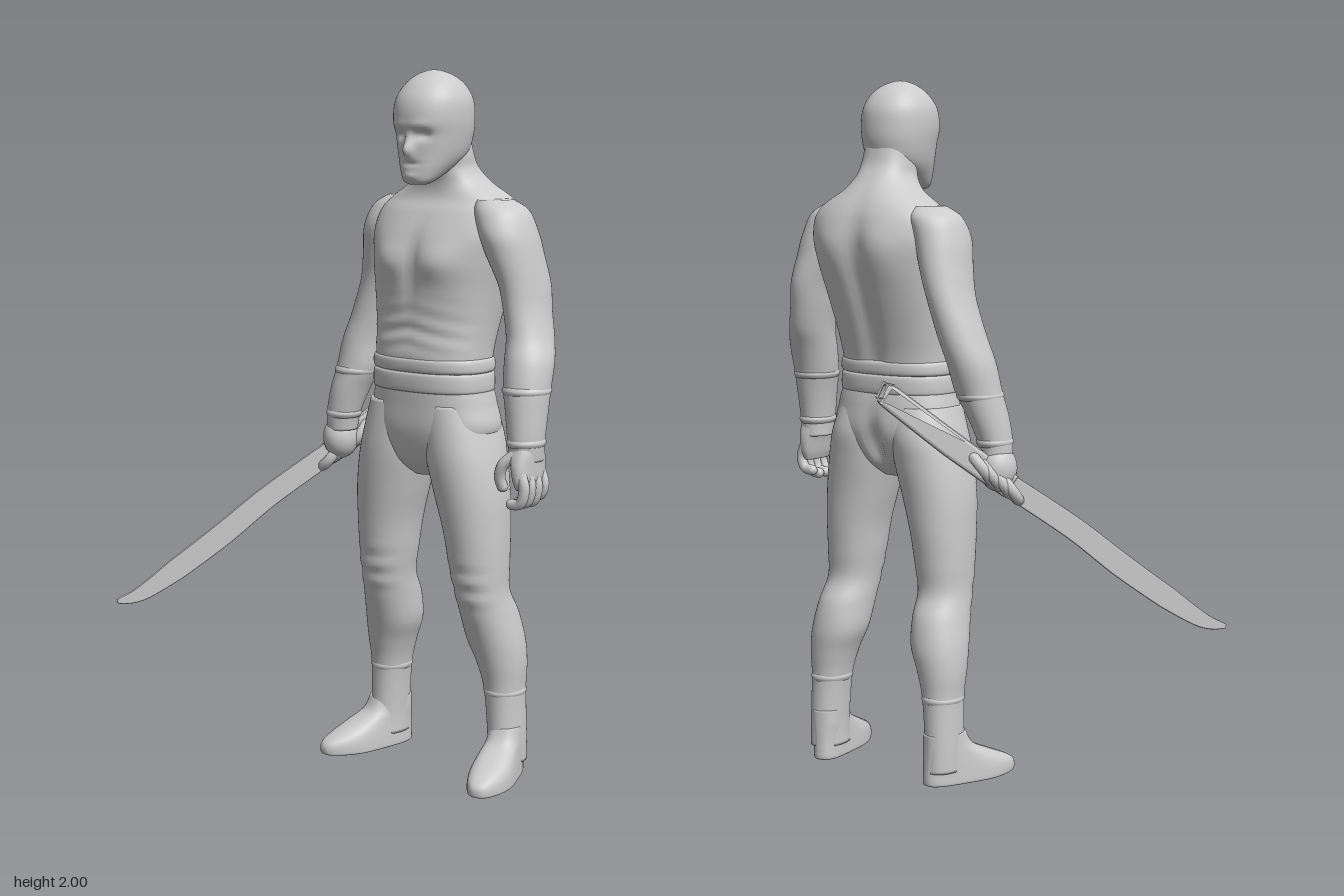
import * as THREE from 'three';

const material = new THREE.MeshStandardMaterial({ color: 0xcccccc, roughness: 0.8 });
const bump = (v, centre, width) => Math.exp(-(((v - centre) / width) ** 2));

// Smooth skin over horizontal rings, bottom to top. Row: [y, centre x, half width, front z, back z]
function loft(rows, { power = 2, sides = 48, steps = 6, sculpt } = {}) {
  const position = [], index = [];
  const last = (rows.length - 1) * steps;
  const sample = (k, i, t) => {
    const at = (n) => rows[Math.min(Math.max(n, 0), rows.length - 1)][k];
    const [a, b, c, d] = [at(i - 1), at(i), at(i + 1), at(i + 2)];
    return b + 0.5 * t * (c - a + t * (2 * a - 5 * b + 4 * c - d + t * (3 * (b - c) + d - a)));
  };
  const soften = (v) => Math.sign(v) * Math.abs(v) ** (2 / power);
  for (let r = 0; r <= last; r++) {
    const i = Math.min(Math.floor(r / steps), rows.length - 2);
    const t = r / steps - i;
    const [y, cx, rx, zf, zb] = [0, 1, 2, 3, 4].map((k) => sample(k, i, t));
    for (let j = 0; j < sides; j++) {
      const a = (j / sides) * Math.PI * 2;
      const p = new THREE.Vector3(
        cx + rx * soften(Math.cos(a)), y, (zf + zb) / 2 + ((zf - zb) / 2) * soften(Math.sin(a)));
      if (sculpt) sculpt(p, Math.sin(a), p.x - cx);
      position.push(p.x, p.y, p.z);
      const n = (j + 1) % sides, o = r * sides;
      if (r < last) index.push(o + j, o + sides + j, o + n, o + n, o + sides + j, o + sides + n);
    }
  }
  // end caps
  for (const r of [0, last]) {
    const [y, cx, , zf, zb] = rows[r ? rows.length - 1 : 0];
    const c = position.length / 3, o = r * sides;
    position.push(cx, y, (zf + zb) / 2);
    for (let j = 0; j < sides; j++) {
      const n = (j + 1) % sides;
      index.push(c, ...(r ? [o + n, o + j] : [o + j, o + n]));
    }
  }
  const g = new THREE.BufferGeometry();
  g.setAttribute('position', new THREE.Float32BufferAttribute(position, 3));
  g.setIndex(index);
  g.computeVertexNormals();
  return g;
}

export function createModel() {
  const model = new THREE.Group();
  const add = (name, geometry, parent = model) => {
    const m = new THREE.Mesh(geometry, material);
    m.name = name;
    parent.add(m);
    return m;
  };
  const finger = (name, points, radius) => {
    const path = new THREE.CatmullRomCurve3(points.map((p) => new THREE.Vector3(...p)));
    add(name, new THREE.TubeGeometry(path, 14, radius, 10));
    add(name + 'Tip', new THREE.SphereGeometry(radius, 10, 8)).position.copy(path.getPoint(1));
  };

  // Torso and neck, with chest, stomach and spine modelling
  add('torso', loft([
    [0.87, 0.208, 0.04, -0.04, -0.15], [0.92, 0.21, 0.12, 0.0, -0.2], [1.0, 0.213, 0.2, 0.022, -0.23],
    [1.08, 0.214, 0.19, 0.025, -0.225], [1.15, 0.214, 0.176, 0.026, -0.213], [1.22, 0.214, 0.177, 0.028, -0.22],
    [1.3, 0.215, 0.185, 0.02, -0.24], [1.4, 0.218, 0.2, 0.022, -0.27], [1.48, 0.222, 0.215, 0.02, -0.288],
    [1.55, 0.225, 0.228, 0.008, -0.292], [1.61, 0.228, 0.22, -0.02, -0.28], [1.65, 0.23, 0.185, -0.045, -0.262],
    [1.69, 0.233, 0.12, -0.05, -0.235], [1.73, 0.237, 0.084, -0.04, -0.205], [1.77, 0.24, 0.077, -0.03, -0.18],
    [1.83, 0.24, 0.07, -0.03, -0.165],
  ], {
    power: 2.4, sides: 96, steps: 8,
    sculpt: (p, s, x) => {
      const side = Math.abs(x);
      if (s > 0) {
        p.z += s * 0.022 * bump(side, 0.09, 0.07) * bump(p.y, 1.48, 0.055);
        p.z -= s * 0.01 * bump(side, 0, 0.02) * bump(p.y, 1.47, 0.09);
        p.z += s * 0.003 * Math.sin(p.y * 130 + side * 25) * bump(p.y, 1.29, 0.06);
      } else {
        p.z -= s * 0.022 * bump(side, 0, 0.035) * bump(p.y, 1.4, 0.2);
        p.z += s * 0.012 * bump(side, 0.1, 0.06) * bump(p.y, 1.53, 0.08);
        p.z -= s * 0.03 * bump(side, 0, 0.025) * bump(p.y, 0.96, 0.07);
      }
    },
  }));

  // Waist sash of two wraps
  for (const [name, y, h] of [['lowerSash', 1.115, 0.055], ['upperSash', 1.17, 0.04]]) {
    add(name, loft([
      [y, 0.214, 0.178, 0.026, -0.215], [y + 0.008, 0.214, 0.184, 0.032, -0.221],
      [y + h - 0.008, 0.214, 0.183, 0.033, -0.221], [y + h, 0.214, 0.176, 0.026, -0.214],
    ], { power: 2.4, sides: 72, steps: 3 }));
  }

  // Head with brow, eye sockets, nose, mouth and chin
  add('head', loft([
    [1.69, 0.24, 0.025, 0.035, -0.01], [1.7, 0.24, 0.045, 0.045, -0.03], [1.73, 0.24, 0.066, 0.05, -0.09],
    [1.77, 0.24, 0.086, 0.05, -0.152], [1.82, 0.24, 0.098, 0.053, -0.172], [1.87, 0.24, 0.104, 0.062, -0.175],
    [1.92, 0.24, 0.1, 0.053, -0.168], [1.96, 0.24, 0.079, 0.025, -0.143], [1.985, 0.24, 0.05, -0.008, -0.108],
    [1.997, 0.24, 0.02, -0.036, -0.076], [2.0, 0.24, 0.002, -0.054, -0.058],
  ], {
    power: 2.15, sides: 96, steps: 8,
    sculpt: (p, s, x) => {
      if (s <= 0) return;
      const side = Math.abs(x);
      p.z += 0.024 * bump(x, 0, 0.016) * bump(p.y, 1.783, 0.022) + 0.009 * bump(x, 0, 0.01) * bump(p.y, 1.815, 0.02);
      p.z -= 0.015 * bump(side, 0.038, 0.022) * bump(p.y, 1.825, 0.014);
      p.z += 0.005 * bump(side, 0.035, 0.035) * bump(p.y, 1.85, 0.012);
      p.z -= 0.006 * bump(side, 0, 0.028) * bump(p.y, 1.747, 0.006);
      p.z += 0.006 * bump(side, 0, 0.025) * bump(p.y, 1.712, 0.012);
    },
  }));

  // Arms
  add('leftArm', loft([
    [0.95, 0.56, 0.043, -0.02, -0.122], [1.0, 0.56, 0.047, -0.01, -0.125], [1.08, 0.555, 0.055, -0.01, -0.14],
    [1.15, 0.548, 0.064, -0.015, -0.155], [1.22, 0.54, 0.066, -0.03, -0.18], [1.28, 0.525, 0.06, -0.05, -0.205],
    [1.35, 0.508, 0.058, -0.055, -0.22], [1.42, 0.495, 0.061, -0.05, -0.23], [1.5, 0.472, 0.07, -0.03, -0.222],
    [1.56, 0.455, 0.073, -0.02, -0.215], [1.62, 0.43, 0.072, -0.035, -0.2], [1.65, 0.41, 0.045, -0.06, -0.17],
  ]));
  add('rightArm', loft([
    [0.95, -0.157, 0.043, -0.075, -0.17], [1.0, -0.152, 0.048, -0.07, -0.175], [1.07, -0.135, 0.056, -0.07, -0.195],
    [1.14, -0.113, 0.066, -0.08, -0.215], [1.22, -0.1, 0.066, -0.09, -0.237], [1.3, -0.075, 0.064, -0.1, -0.252],
    [1.4, -0.043, 0.061, -0.1, -0.262], [1.48, -0.02, 0.066, -0.085, -0.262], [1.56, 0.0, 0.071, -0.07, -0.255],
    [1.62, 0.025, 0.07, -0.085, -0.245], [1.65, 0.05, 0.045, -0.11, -0.21],
  ]));

  // Wrapped bands on the forearms
  for (const [name, cx, zf, zb, y] of [
    ['leftWristBand', 0.56, -0.006, -0.13, 1.0], ['leftForearmBand', 0.549, -0.009, -0.156, 1.14],
    ['rightWristBand', -0.151, -0.066, -0.18, 1.0], ['rightForearmBand', -0.116, -0.074, -0.215, 1.13],
  ]) {
    const r = y > 1.1 ? 0.066 : 0.051;
    add(name, loft([[y - 0.012, cx, r - 0.006, zf - 0.006, zb + 0.006], [y, cx, r, zf, zb],
      [y + 0.012, cx, r - 0.006, zf - 0.006, zb + 0.006]], { steps: 3 }));
  }

  // Open left hand with curled fingers
  add('leftPalm', loft([
    [0.875, 0.575, 0.016, -0.01, -0.11], [0.9, 0.574, 0.024, 0.0, -0.122], [0.94, 0.57, 0.03, 0.0, -0.128],
    [0.98, 0.563, 0.038, -0.012, -0.122], [1.0, 0.56, 0.03, -0.02, -0.115],
  ], { power: 2.5 }));
  for (let i = 0; i < 4; i++) {
    const z = -0.108 + 0.03 * i, drop = i === 0 ? 0.012 : 0;
    finger('leftFinger', [[0.58, 0.92, z], [0.592, 0.88, z], [0.578, 0.838 + drop, z], [0.55, 0.833 + drop, z]], 0.0155);
  }
  finger('leftThumb', [[0.555, 0.97, -0.025], [0.525, 0.94, -0.01], [0.513, 0.905, -0.012], [0.517, 0.878, -0.02]], 0.016);

  // Curved sword, drawn in its own plane: [along, height, half width]
  const sword = new THREE.Group();
  sword.name = 'sword';
  sword.position.set(0.035, 0, -0.385);
  sword.rotation.y = Math.atan2(-0.766, -0.643);
  model.add(sword);
  const stripShape = (stations) => {
    const curve = new THREE.SplineCurve(stations.map(([s, y]) => new THREE.Vector2(s, y)));
    const top = [], bottom = [], n = 30;
    for (let i = 0; i <= n; i++) {
      const u = (i / n) * (stations.length - 1), k = Math.min(Math.floor(u), stations.length - 2);
      const w = THREE.MathUtils.lerp(stations[k][2], stations[k + 1][2], u - k);
      const p = curve.getPoint(i / n), t = curve.getTangent(i / n);
      top.push(new THREE.Vector2(p.x - t.y * w, p.y + t.x * w));
      bottom.unshift(new THREE.Vector2(p.x + t.y * w, p.y - t.x * w));
    }
    return new THREE.Shape([...top, ...bottom]);
  };
  const strip = (name, stations, depth, bevel) => {
    const g = new THREE.ExtrudeGeometry(stripShape(stations), {
      depth, bevelEnabled: true, bevelThickness: bevel, bevelSize: bevel, bevelOffset: -bevel, bevelSegments: 2 });
    add(name, g.translate(0, 0, -depth / 2), sword);
  };
  strip('handle', [[0.0, 1.15, 0.02], [0.02, 1.135, 0.034], [0.19, 1.0, 0.037], [0.36, 0.875, 0.036]], 0.014, 0.009);
  strip('blade', [[0.34, 0.888, 0.032], [0.54, 0.75, 0.033], [0.68, 0.638, 0.035], [0.82, 0.535, 0.033],
    [0.93, 0.462, 0.022], [1.0, 0.441, 0.006]], 0.008, 0.004);

  // Right fist closed around the handle
  const palm = add('rightPalm', new THREE.SphereGeometry(1, 28, 20));
  palm.position.set(-0.165, 0.925, -0.125);
  palm.scale.set(0.05, 0.065, 0.058);
  for (let i = 0; i < 4; i++) {
    const f = add('rightFinger', new THREE.TorusGeometry(0.036, 0.016, 10, 24), sword);
    const s = 0.275 + 0.027 * i;
    f.position.set(s, 0.93 - (s - 0.275) * 0.74, 0);
    f.rotation.set(0, Math.PI / 2, 0.64, 'ZYX');
    f.scale.set(0.85, 1.15, 1);
  }

  // Legs and feet, mirrored about the hips
  for (const [side, m] of [['left', 1], ['right', -1]]) {
    const mx = (x) => 0.206 + m * (x - 0.206);
    add(side + 'Leg', loft([
      [0.04, 0.425, 0.048, -0.11, -0.245], [0.12, 0.425, 0.049, -0.113, -0.243], [0.25, 0.418, 0.055, -0.11, -0.24],
      [0.33, 0.41, 0.068, -0.095, -0.245], [0.4, 0.395, 0.08, -0.075, -0.246], [0.48, 0.385, 0.077, -0.05, -0.23],
      [0.55, 0.378, 0.074, -0.03, -0.197], [0.63, 0.372, 0.081, -0.015, -0.2], [0.72, 0.365, 0.088, -0.003, -0.208],
      [0.82, 0.35, 0.1, 0.01, -0.215], [0.92, 0.33, 0.105, 0.02, -0.225], [1.0, 0.315, 0.1, 0.02, -0.23],
      [1.08, 0.3, 0.09, 0.015, -0.21],
    ].map(([y, x, ...rest]) => [y, mx(x), ...rest]), {
      power: 2.15,
      // knee folds
      sculpt: (p, s) => { p.z += Math.max(s, 0) * 0.004 * Math.sin(p.y * 110) * bump(p.y, 0.57, 0.06); },
    }));
    add(side + 'ShinBand', loft([[0.238, mx(0.418), 0.053, -0.112, -0.239], [0.25, mx(0.418), 0.058, -0.107, -0.244],
      [0.262, mx(0.417), 0.053, -0.112, -0.239]], { steps: 3 }));
    const foot = add(side + 'Foot', loft([
      [0, 0, 0.05, 0.238, -0.06], [0.006, 0, 0.054, 0.246, -0.066], [0.03, 0, 0.054, 0.244, -0.066],
      [0.05, 0, 0.053, 0.218, -0.065], [0.08, 0, 0.051, 0.15, -0.064], [0.11, 0, 0.05, 0.09, -0.063],
      [0.15, 0, 0.048, 0.066, -0.062],
    ], {
      power: 2.5,
      sculpt: (p) => { p.x *= 0.92 + 0.22 * bump(p.z, 0.14, 0.08); },
    }));
    foot.position.set(mx(0.425), 0, -0.182);
    foot.rotation.y = m * 0.28;
  }
  return model;
}
